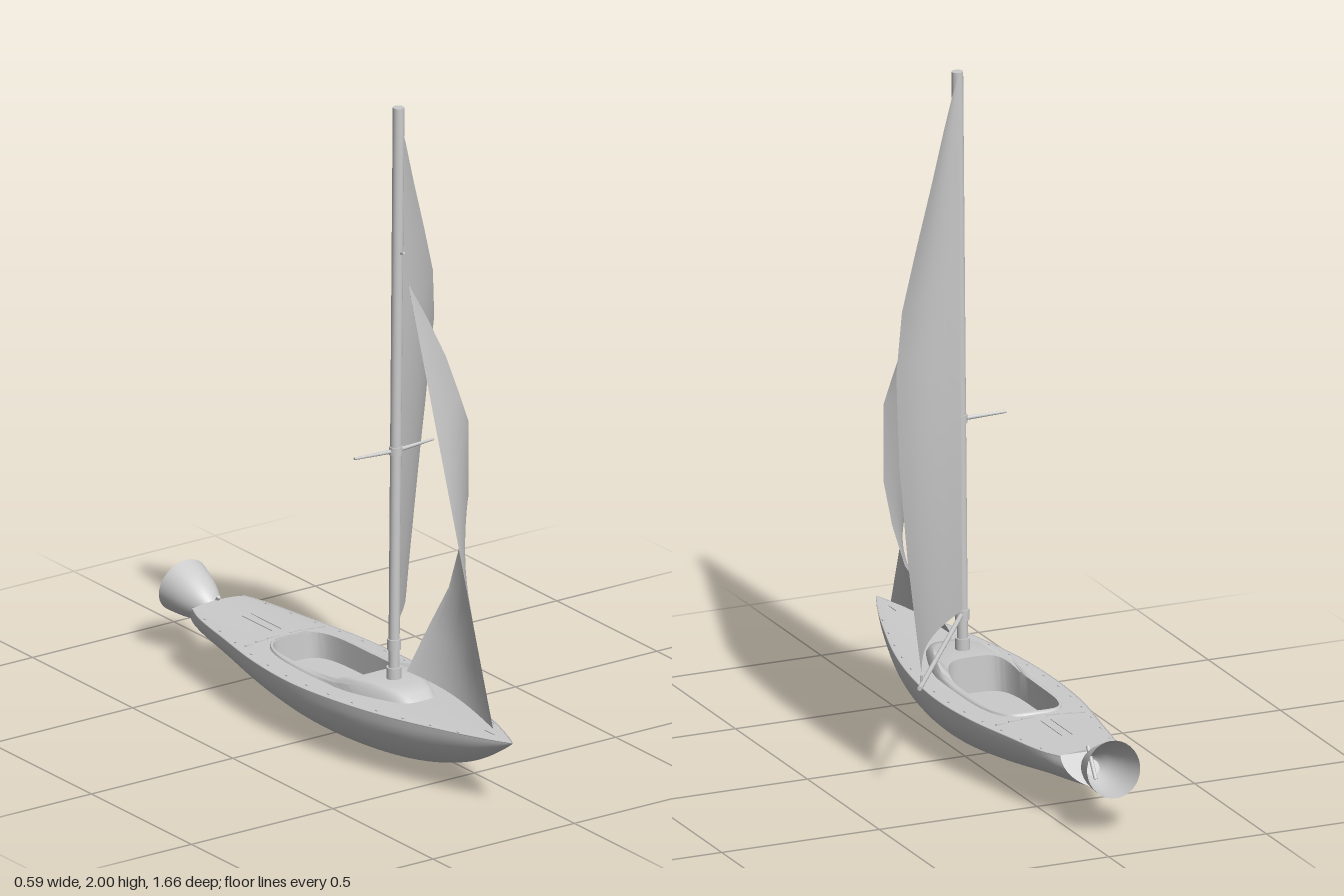
import * as THREE from 'three';
import { toCreasedNormals } from 'three/addons/utils/BufferGeometryUtils.js';

const V = (x, y, z) => new THREE.Vector3(x, y, z);
const { lerp, smoothstep } = THREE.MathUtils;
const solid = new THREE.MeshStandardMaterial({ color: 0xcccccc });
const thin = new THREE.MeshStandardMaterial({ color: 0xcccccc, side: THREE.DoubleSide });

// Hull lines by z: half width, sheer height, keel height
const times = [-0.64, -0.6, -0.4, -0.2, 0, 0.2, 0.4, 0.6, 0.7, 0.8, 0.83];
const lines = [
  0.09, 0.198, 0.105, 0.107, 0.196, 0.098, 0.148, 0.192, 0.062, 0.182, 0.19, 0.03,
  0.194, 0.19, 0.006, 0.18, 0.195, 0.006, 0.142, 0.2, 0.032, 0.085, 0.208, 0.09,
  0.053, 0.213, 0.135, 0.015, 0.218, 0.195, 0.002, 0.22, 0.216];
const spline = new THREE.CubicInterpolant(times, lines, 3);
const hullAt = z => Array.from(spline.evaluate(z));
const deckY = (x, z) => {
  const [w, sheer] = hullAt(z);
  return sheer + 0.08 * w * Math.max(0, 1 - (x / w) ** 2);
};

// Surface through rows of points
function loft(rows) {
  const n = rows[0].length, index = [];
  for (let i = 0; i < rows.length - 1; i++)
    for (let j = 0; j < n - 1; j++) {
      const a = i * n + j, b = a + n;
      index.push(a, b, a + 1, b, b + 1, a + 1);
    }
  const g = new THREE.BufferGeometry().setFromPoints(rows.flat());
  g.setIndex(index);
  g.computeVertexNormals();
  return g;
}

function add(group, name, geometry, material = solid) {
  const mesh = new THREE.Mesh(geometry, material);
  mesh.name = name;
  group.add(mesh);
  return mesh;
}

// Round bar between two points
function bar(group, name, a, b, r0, r1 = r0, sides = 16) {
  const mesh = add(group, name, new THREE.CylinderGeometry(r1, r0, a.distanceTo(b), sides));
  mesh.position.copy(a).lerp(b, 0.5);
  mesh.quaternion.setFromUnitVectors(V(0, 1, 0), b.clone().sub(a).normalize());
}

// Sail spanned from its luff to its leech, with belly to leeward and a lifted foot
function sail(group, name, luffAt, leech, belly, lift) {
  const rows = leech.map((end, i) => {
    const t = i / (leech.length - 1), start = luffAt(t, end);
    const chord = end.clone().sub(start);
    const out = V(-chord.z * belly, lift * t ** 6, chord.x * belly);
    return Array.from({ length: 11 }, (_, j) =>
      start.clone().lerp(end, j / 10).addScaledVector(out, Math.sin(Math.PI * j / 10)));
  });
  add(group, name, loft(rows), thin);
}

// Cockpit opening
const pitZ = -0.05, pitL = 0.22, pitW = 0.108;
const signedPow = (v, p) => Math.sign(v) * Math.abs(v) ** p;
const holeAt = z => 1.03 * pitW * Math.max(0, 1 - Math.abs((z - pitZ) / pitL) ** 4) ** 0.25;

function buildHull(boat) {
  const rows = [];
  for (let i = 0; i <= 50; i++) {
    const z = lerp(-0.64, 0.83, i / 50), [w, top, keel] = hullAt(z);
    const rake = 0.05 * (1 - smoothstep(z, -0.64, -0.45));
    rows.push(Array.from({ length: 33 }, (_, j) => {
      const t = Math.PI * j / 32, c = Math.cos(t);
      const depth = Math.sin(t) ** 0.87;
      return V(w * signedPow(c, 1.55), lerp(top, keel, depth), z - rake * depth);
    }));
  }
  add(boat, 'hull', loft(rows), thin);
  // Raked transom closes the stern
  const edge = rows[0];
  add(boat, 'transom', loft([edge, edge.map(p => V(p.x, 0.2, -0.64))]), thin);

  // Crowned deck in two halves, left open over the cockpit
  const zs = Array.from({ length: 46 }, (_, i) => lerp(-0.64, 0.83, i / 45));
  for (const u of [0.86, 0.93, 0.97, 0.99, 0.998, 1]) zs.push(pitZ + pitL * u, pitZ - pitL * u);
  zs.sort((a, b) => a - b);
  for (const side of [-1, 1]) {
    add(boat, 'deck', loft(zs.map(z => Array.from({ length: 8 }, (_, j) => {
      const x = lerp(holeAt(z), hullAt(z)[0], j / 7);
      return V(side * x, deckY(x, z), z);
    }))), thin);
    const path = new THREE.CatmullRomCurve3(Array.from({ length: 30 }, (_, i) => {
      const z = lerp(-0.64, 0.83, i / 29), [w, y] = hullAt(z);
      return V(side * w, y, z);
    }));
    add(boat, 'sheerRail', new THREE.TubeGeometry(path, 60, 0.002, 6));
  }
}

// Low cabin running aft into the coaming, then down to the cockpit floor
function buildCockpit(boat) {
  const rings = [[], [], [], [], [], []];
  const rise = z => 0.006 + 0.026 * smoothstep(z, 0.05, 0.19);
  for (let i = 0; i <= 72; i++) {
    const t = 2 * Math.PI * i / 72, c = Math.cos(t), s = Math.sin(t);
    const oz = 0.0525 + 0.3375 * signedPow(c, 0.6);
    const ox = 0.128 * signedPow(s, 0.55) * (1 - 0.32 * smoothstep(oz, 0.12, 0.39));
    const ix = pitW * signedPow(s, 0.5), iz = pitZ + pitL * signedPow(c, 0.5);
    const at = (k, h) => {
      const x = lerp(ox, ix, k), z = lerp(oz, iz, k);
      return V(x, deckY(x, z) + h * rise(z), z);
    };
    rings[0].push(at(0, -0.2));
    rings[1].push(at(0.15, 0.65));
    rings[2].push(at(0.35, 1));
    rings[3].push(at(1, 1));
    rings[4].push(V(ix * 0.98, 0.13, pitZ + (iz - pitZ) * 0.985));
    rings[5].push(V(0, 0.13, pitZ));
  }
  add(boat, 'cabinAndCockpit', toCreasedNormals(loft(rings), 0.7), thin);
}

function buildFittings(boat) {
  // Deck seams behind the cockpit and small fittings along the deck edge
  const seam = (w, l, x, z) => {
    add(boat, 'deckSeam', new THREE.BoxGeometry(w, 0.004, l)).position.set(x, deckY(x, z), z);
  };
  for (const s of [-1, 1]) {
    for (const x of [0.04, 0.08, 0.12]) seam(0.042, 0.005, s * x, -0.305);
    seam(0.003, 0.15, s * 0.016, -0.42);
    for (let z = -0.55; z < 0.7; z += 0.1) seam(0.005, 0.01, s * hullAt(z)[0] * 0.9, z);
  }
  seam(0.004, 0.05, 0, 0.72);
  // Stern post
  bar(boat, 'sternPost', V(0, 0.215, -0.635), V(0, 0.13, -0.69), 0.006);
  // Flared bell at the stern
  const profile = [[0.001, 0], [0.018, 0.002], [0.034, 0.02], [0.052, 0.05], [0.067, 0.09], [0.077, 0.13], [0.084, 0.165]];
  const curve = new THREE.SplineCurve(profile.map(p => new THREE.Vector2(...p)));
  const bell = add(boat, 'sternBell', new THREE.LatheGeometry(curve.getPoints(20), 32), thin);
  bell.position.set(0, 0.163, -0.653);
  bell.quaternion.setFromUnitVectors(V(0, 1, 0), V(0, 0.21, -0.98).normalize());
}

function buildRig(boat) {
  bar(boat, 'mast', V(-0.004, 0.23, 0.245), V(0.011, 2, 0.248), 0.016, 0.017, 20);
  bar(boat, 'mastStep', V(-0.004, 0.22, 0.245), V(-0.004, 0.275, 0.245), 0.022);
  bar(boat, 'gooseneck', V(-0.003, 0.33, 0.245), V(-0.003, 0.362, 0.245), 0.021);
  bar(boat, 'boom', V(0.005, 0.347, 0.235), V(0.39, 0.347, -0.32), 0.007);
  bar(boat, 'clewPin', V(0.365, 0.347, -0.28), V(0.365, 0.372, -0.28), 0.003);
  bar(boat, 'spreaderCollar', V(0.002, 0.93, 0.246), V(0.002, 0.955, 0.246), 0.02);
  for (const s of [-1, 1])
    bar(boat, 'spreader', V(0.002, 0.941, 0.246), V(s * 0.14, 0.945, 0.24), 0.007, 0.004, 8);
  bar(boat, 'forestayHook', V(0.008, 1.55, 0.25), V(0.008, 1.56, 0.278), 0.004, 0.004, 8);

  const mainLeech = [[0.022, 1.995], [0.085, 1.85], [0.147, 1.7], [0.22, 1.53], [0.286, 1.37], [0.328, 1.2],
    [0.354, 0.95], [0.364, 0.7], [0.365, 0.5], [0.365, 0.37]]
    .map(([x, y]) => V(x, y, 0.225 - 0.505 * (1.995 - y) / 1.625));
  sail(boat, 'mainsail', (t, end) => V(lerp(0.02, 0.01, t), end.y, lerp(0.225, 0.215, t)), mainLeech, 0.065, 0);

  const jibLeech = [[0.005, 1.475], [0.075, 1.35], [0.14, 1.22], [0.19, 1.09], [0.222, 1], [0.224, 0.77],
    [0.197, 0.63], [0.157, 0.5], [0.08, 0.385], [0.01, 0.272]]
    .map(([x, y]) => V(x, y, 0.29 + 0.012 * (y - 0.27)));
  sail(boat, 'jib', t => V(lerp(0.005, 0, t), lerp(1.475, 0.235, t), lerp(0.305, 0.735, t)), jibLeech, 0.02, 0.014);
}

export function createModel() {
  const model = new THREE.Group();
  const boat = new THREE.Group();
  boat.name = 'sailboat';
  boat.position.x = -0.1;
  model.add(boat);
  buildHull(boat);
  buildCockpit(boat);
  buildFittings(boat);
  buildRig(boat);
  return model;
}
